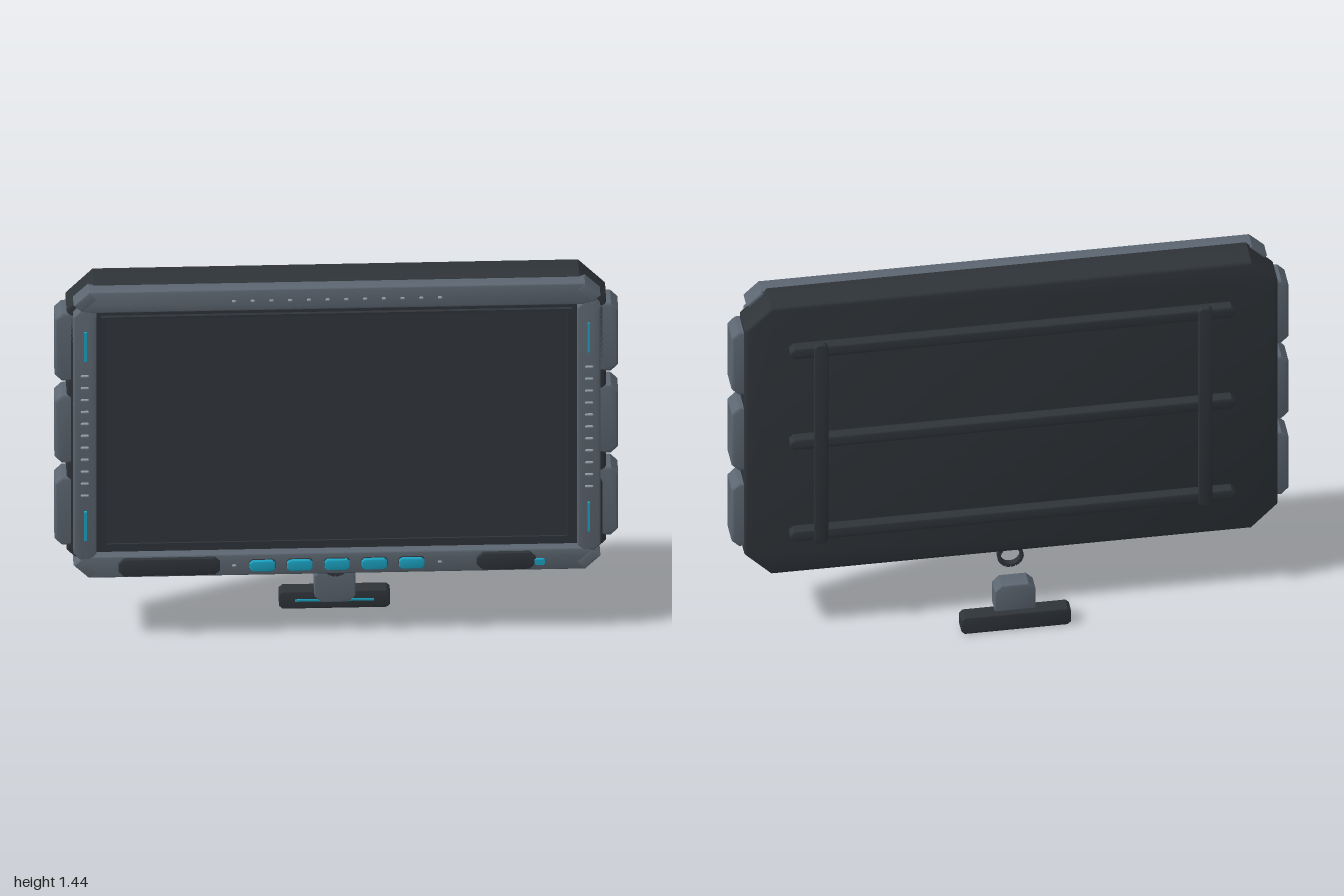
import * as THREE from 'three';
import { toCreasedNormals } from 'three/addons/utils/BufferGeometryUtils.js';

const mat = (name, color) => Object.assign(new THREE.MeshStandardMaterial({ color }), { name });

export function createModel() {
  const group = new THREE.Group();
  const body = mat('charcoal shell', 0x2f3439);
  const frame = mat('slate grey', 0x5c6671);
  const glass = mat('dark glass', 0x31353c);
  const cyan = mat('cyan accent', 0x1ba3c2);
  const pale = mat('pale tick', 0x909ba5);

  function add(name, material, geo) {
    const mesh = new THREE.Mesh(geo, material);
    mesh.name = name;
    group.add(mesh);
    return mesh;
  }
  // Extruded outline between two depths, with a small rounded edge kept inside the outline
  function plate(name, material, pts, z0, z1, round = 0) {
    const shape = new THREE.Shape(pts.map(([x, y]) => new THREE.Vector2(x, y)));
    const geo = new THREE.ExtrudeGeometry(shape, {
      depth: z1 - z0 - 2 * round, bevelEnabled: round > 0, bevelSegments: 3,
      bevelThickness: round, bevelSize: round, bevelOffset: -round,
    });
    geo.translate(0, 0, z0 + round);
    return add(name, material, toCreasedNormals(geo, 0.6));
  }
  // Rectangle with clipped corners
  function clipped(x0, x1, y0, y1, c) {
    return [[x0 + c, y0], [x1 - c, y0], [x1, y0 + c], [x1, y1 - c],
      [x1 - c, y1], [x0 + c, y1], [x0, y1 - c], [x0, y0 + c]];
  }
  function box(name, material, x0, x1, y0, y1, z0, z1) {
    const mesh = add(name, material, new THREE.BoxGeometry(x1 - x0, y1 - y0, z1 - z0));
    mesh.position.set((x0 + x1) / 2, (y0 + y1) / 2, (z0 + z1) / 2);
    return mesh;
  }
  // Small raised rounded dash lying along x
  function tick(name, x, y, length) {
    const mesh = add(name, pale, new THREE.CapsuleGeometry(0.005, length, 4, 10));
    mesh.rotation.z = Math.PI / 2;
    mesh.position.set(x, y, 0.136);
  }

  // Shell and screen
  plate('shell', body, clipped(-0.957, 0.957, 0.263, 1.442, 0.095), -0.046, 0.085, 0.014);
  box('screenBezel', body, -0.855, 0.855, 0.345, 1.355, 0.08, 0.094);
  box('screen', glass, -0.835, 0.835, 0.385, 1.322, 0.09, 0.1);
  for (const s of [-1, 1]) {
    box('screenSideRim', body, s * 0.827 - 0.009, s * 0.827 + 0.009, 0.385, 1.322, 0.09, 0.109);
    const y = 0.8535 + s * 0.4635;
    box('screenEdgeRim', body, -0.835, 0.835, y - 0.005, y + 0.005, 0.09, 0.107);
  }

  // Top and bottom frame bars with pointed ends, and deeper guards at the four corners
  const flip = (pts) => pts.map(([x, y]) => [x, 1.709 - y]).reverse();
  const mirror = (pts) => pts.map(([x, y]) => [-x, y]).reverse();
  const bar = [[-0.93, 1.385], [-0.895, 1.352], [0.895, 1.352], [0.93, 1.385], [0.88, 1.438], [-0.88, 1.438]];
  const guard = [[0.85, 1.409], [0.905, 1.358], [0.935, 1.385], [0.88, 1.438]];
  for (const side of [(p) => p, flip]) {
    plate('frameBar', frame, side(bar), 0.068, 0.13, 0.005);
    for (const g of [guard, mirror(guard)]) plate('cornerGuard', frame, side(g), 0.058, 0.131, 0.005);
  }

  for (const s of [-1, 1]) {
    // Side frame bars
    const [a, b] = s > 0 ? [0.853, 0.935] : [-0.935, -0.853];
    plate('sideBar', frame, clipped(a, b, 0.345, 1.362, 0.025), 0.07, 0.13, 0.005);
    // Side bumpers
    for (const y of [0.52, 0.855, 1.19]) {
      const [p, q] = s > 0 ? [0.9, 1] : [-1, -0.9];
      plate('sideBumper', frame, clipped(p, q, y - 0.139, y + 0.139, 0.026), -0.02, 0.085, 0.009);
    }
    // Accent strips and ticks
    for (const y of [0.49, 1.222])
      box('accentStrip', cyan, s * 0.893 - 0.005, s * 0.893 + 0.005, y - 0.059, y + 0.059, 0.136, 0.144);
    for (let i = 0; i < 11; i++) tick('sideTick', s * 0.895, 0.612 + i * 0.0488, 0.02);
    tick('buttonTick', s * 0.365, 0.315, 0.006);
  }
  for (let i = 0; i < 12; i++) tick('topTick', (i - 5.5) * 0.0665, 1.395, 0.006);

  // Control strip
  for (let i = -2; i <= 2; i++) {
    const x = i * 0.1325;
    plate('buttonBase', body, clipped(x - 0.046, x + 0.046, 0.293, 0.337, 0.01), 0.125, 0.135);
    plate('button', cyan, clipped(x - 0.045, x + 0.045, 0.294, 0.336, 0.01), 0.13, 0.147, 0.003);
  }
  plate('leftPanel', body, clipped(-0.775, -0.415, 0.283, 0.35, 0.018), 0.125, 0.144, 0.003);
  plate('rightPanel', body, clipped(0.495, 0.705, 0.283, 0.35, 0.022), 0.125, 0.144, 0.003);
  plate('indicator', cyan, clipped(0.7, 0.738, 0.304, 0.327, 0.006), 0.144, 0.153);

  // Back rails and straps
  for (const y of [0.45, 0.855, 1.257])
    plate('backRail', body, clipped(-0.8, 0.8, y - 0.022, y + 0.022, 0.015), -0.085, -0.04, 0.005);
  for (const s of [-1, 1])
    plate('backStrap', body, clipped(s * 0.69 - 0.025, s * 0.69 + 0.025, 0.418, 1.293, 0.012), -0.096, -0.072, 0.004);

  // Segmented ring under the shell
  for (let i = 0; i < 16; i++) {
    const t = (i + 0.5) / 16 * Math.PI * 2;
    const link = box('ringLink', body, -0.006, 0.006, -0.0075, 0.0075, -0.027, -0.003);
    link.position.set(Math.cos(t) * 0.041, 0.23 + Math.sin(t) * 0.041, -0.015);
    link.rotation.z = t;
  }

  // Stand
  plate('standStem', frame, clipped(-0.073, 0.073, 0.045, 0.178, 0.025), -0.13, -0.06, 0.004);
  plate('standFoot', body, clipped(-0.197, 0.197, 0, 0.07, 0.012), -0.155, -0.097, 0.004);
  box('footStrip', cyan, -0.14, 0.14, 0.034, 0.042, -0.092, -0.088);
  return group;
}
